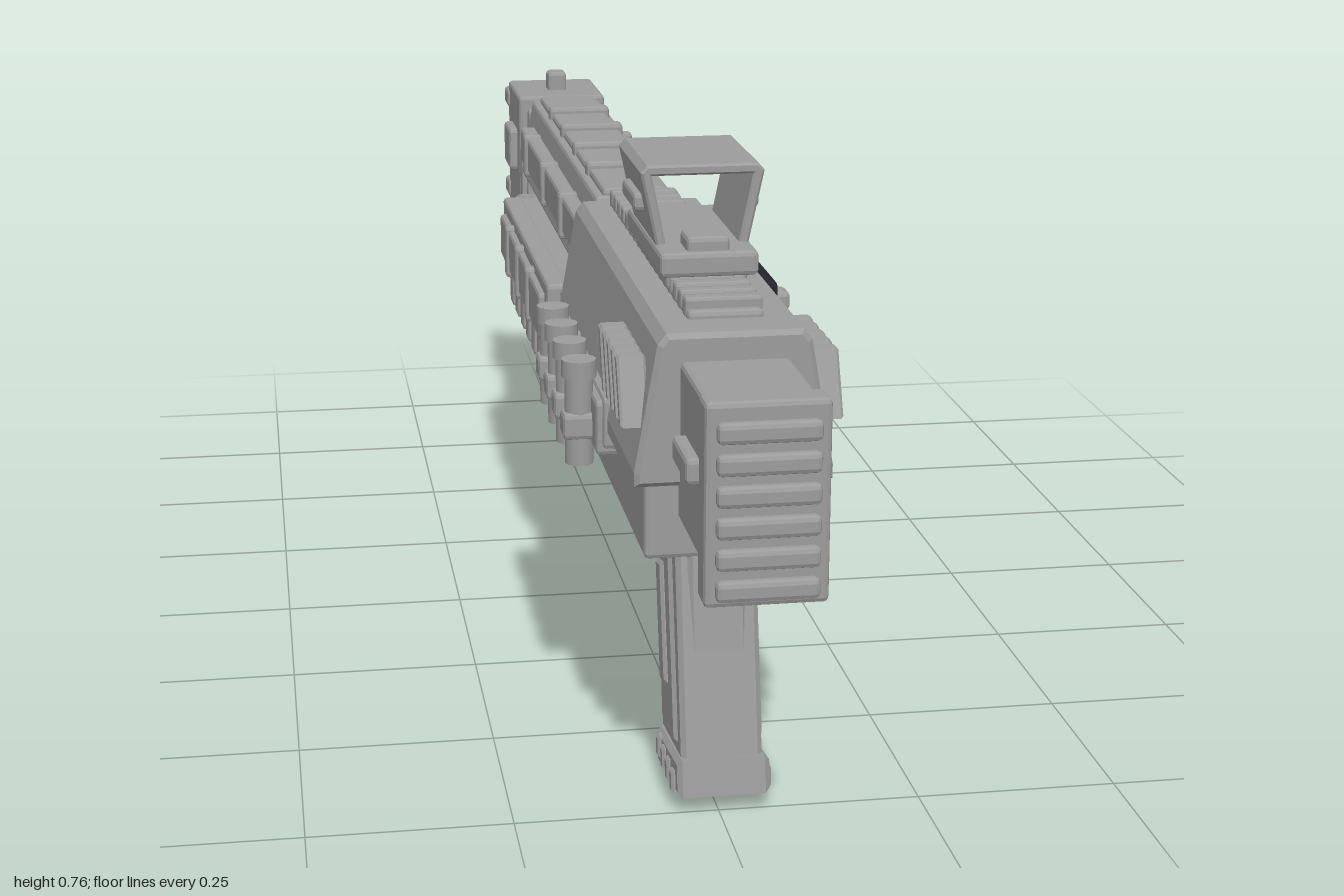
import * as THREE from 'three';
import { RoundedBoxGeometry } from 'three/addons/geometries/RoundedBoxGeometry.js';

export function createModel() {
  const model = new THREE.Group();
  model.name = 'pumpShotgun';
  const body = new THREE.Group();
  body.name = 'body';
  body.position.x = 0.006;
  model.add(body);

  const metal = new THREE.MeshStandardMaterial({ color: 0x9c9c9c });
  metal.name = 'grey metal';
  const dark = new THREE.MeshStandardMaterial({ color: 0x24242c });
  dark.name = 'dark port';
  const black = new THREE.MeshStandardMaterial({ color: 0x161618 });
  black.name = 'black well';

  const add = (name, geo, mat = metal) => {
    const m = new THREE.Mesh(geo, mat);
    m.name = name;
    body.add(m);
    return m;
  };

  // Chamfered box from min/max ranges; taper scales the width at the top
  const box = (name, [x0, x1], [y0, y1], [z0, z1], { taper = 1, mat = metal, bevel = 0.006 } = {}) => {
    const w = x1 - x0, h = y1 - y0, d = z1 - z0;
    const geo = new RoundedBoxGeometry(w, h, d, 1, Math.min(bevel, Math.min(w, h, d) * 0.3));
    const p = geo.attributes.position;
    for (let i = 0; i < p.count; i++) {
      p.setX(i, p.getX(i) * (1 + (taper - 1) * (p.getY(i) / h + 0.5)));
    }
    geo.computeVertexNormals();
    geo.translate((x0 + x1) / 2, (y0 + y1) / 2, (z0 + z1) / 2);
    return add(name, geo, mat);
  };
  const centred = (name, half, y, z, opts) => box(name, [-half, half], y, z, opts);
  const pair = (name, [x0, x1], y, z, opts) => {
    box(name + 'Left', [x0, x1], y, z, opts);
    box(name + 'Right', [-x1, -x0], y, z, opts);
  };

  // Bevelled outline extruded about the origin
  const extrude = (pts, depth, bevel, hole) => {
    const shape = new THREE.Shape(pts.map(([a, b]) => new THREE.Vector2(a, b)));
    if (hole) shape.holes.push(new THREE.Path(hole.map(([a, b]) => new THREE.Vector2(a, b))));
    const geo = new THREE.ExtrudeGeometry(shape, {
      depth: depth - 2 * bevel, bevelEnabled: bevel > 0, bevelThickness: bevel,
      bevelSize: bevel, bevelOffset: -bevel, bevelSegments: 1,
    });
    return geo.translate(0, 0, bevel - depth / 2);
  };
  // Side outline in (z, y), spread across x
  const side = (name, pts, width, x = 0, bevel = 0.006) =>
    add(name, extrude(pts, width, bevel).rotateY(-Math.PI / 2).translate(x, 0, 0));
  // Front outline in (x, y), mirrored from its right half, spread along z
  const section = (name, half, [z0, z1], bevel = 0.006, hole) => {
    const full = h => [...h, ...h.map(([x, y]) => [-x, y]).reverse()];
    return add(name, extrude(full(half), z1 - z0, bevel, hole && full(hole)).translate(0, 0, (z0 + z1) / 2));
  };

  // Stock and ridged butt pad
  centred('stock', 0.064, [0.39, 0.582], [0.78, 0.96]);
  centred('buttPlate', 0.07, [0.356, 0.59], [0.945, 0.988]);
  for (let i = 0; i < 6; i++) {
    const y = 0.365 + i * 0.036;
    centred('buttRib', 0.058, [y, y + 0.024], [0.975, 1.0]);
  }
  pair('stockPanel', [0.055, 0.079], [0.475, 0.506], [0.825, 0.92]);

  // Receiver
  section('upperReceiver', [[0.117, 0.433], [0.117, 0.45], [0.09, 0.602], [0.08, 0.615]], [0.075, 0.797]);
  centred('lowerReceiver', 0.102, [0.337, 0.445], [0.078, 0.775]);
  centred('receiverCollar', 0.085, [0.38, 0.602], [0.035, 0.09], { taper: 0.8 });
  pair('receiverPanel', [0.095, 0.122], [0.41, 0.476], [0.125, 0.578]);
  for (const z of [0.28, 0.43]) pair('receiverStrap', [0.1, 0.128], [0.405, 0.481], [z - 0.012, z + 0.012]);

  // Slanted cooling vents
  for (let i = 0; i < 5; i++) {
    const z = 0.765 - i * 0.034;
    const pts = [[z, 0.502], [z + 0.018, 0.502], [z - 0.016, 0.578], [z - 0.034, 0.578]];
    for (const s of [1, -1]) side('vent', pts, 0.034, s * 0.114, 0.003);
  }

  // Ejection port, bolt and handle
  box('portFrame', [0.08, 0.126], [0.503, 0.578], [0.18, 0.432], { mat: dark });
  box('bolt', [0.1, 0.129], [0.517, 0.565], [0.2, 0.412], { bevel: 0.003 });
  box('boltHandle', [0.12, 0.152], [0.527, 0.552], [0.348, 0.386]);

  // Top rail
  centred('railBase', 0.045, [0.605, 0.624], [0.1, 0.735]);
  for (let i = 0; i < 18; i++) {
    const z = 0.105 + i * 0.035;
    centred('railRidge', 0.046, [0.61, 0.637], [z, z + 0.021], { bevel: 0.004 });
  }

  // Holographic sight with open hood
  centred('sightMount', 0.05, [0.618, 0.645], [0.38, 0.61]);
  centred('sightBase', 0.06, [0.638, 0.668], [0.36, 0.63]);
  centred('sightEmitter', 0.026, [0.66, 0.685], [0.565, 0.62]);
  section('sightHood', [[0.056, 0.662], [0.076, 0.756], [0.068, 0.765]], [0.395, 0.578], 0.003,
    [[0.045, 0.668], [0.062, 0.752]]);
  pair('hoodPanel', [0.06, 0.078], [0.7, 0.722], [0.437, 0.535]);

  // Barrel shroud, side panels and straps
  centred('shroud', 0.076, [0.487, 0.612], [-0.745, 0.045], { taper: 0.74 });
  centred('shroudSpine', 0.045, [0.6, 0.622], [-0.73, 0.035]);
  for (const z of [-0.57, -0.42, -0.27, -0.12]) {
    centred('spineStrap', 0.049, [0.603, 0.632], [z - 0.014, z + 0.014]);
  }
  pair('shroudPanel', [0.055, 0.084], [0.52, 0.578], [-0.685, 0.017]);
  for (const z of [-0.13, -0.355, -0.585]) {
    pair('shroudStrap', [0.06, 0.09], [0.514, 0.584], [z - 0.012, z + 0.012]);
  }

  // Magazine tube and front clamp
  add('magazineTube', new THREE.CylinderGeometry(0.042, 0.042, 0.9, 16)
    .rotateX(Math.PI / 2).translate(0, 0.42, -0.38));
  centred('neck', 0.055, [0.5, 0.592], [-0.8, -0.72]);
  centred('clamp', 0.068, [0.375, 0.548], [-0.778, -0.728]);
  pair('clampPanel', [0.06, 0.076], [0.395, 0.53], [-0.767, -0.74]);

  // Muzzle block, bore, prongs and front sight
  centred('muzzleLink', 0.06, [0.39, 0.59], [-0.8, -0.77]);
  centred('muzzle', 0.074, [0.377, 0.61], [-0.967, -0.79]);
  box('bore', [-0.044, 0.044], [0.465, 0.58], [-0.972, -0.964], { mat: dark, bevel: 0.001 });
  pair('muzzlePanel', [0.065, 0.088], [0.475, 0.547], [-0.915, -0.828]);
  centred('muzzleBottomPanel', 0.035, [0.368, 0.385], [-0.92, -0.83]);
  for (const y of [0.565, 0.402]) pair('prong', [0.049, 0.078], [y, y + 0.03], [-1, -0.945]);
  centred('frontSight', 0.016, [0.6, 0.641], [-0.89, -0.852]);

  // Pump foregrip with ribbed underside
  side('foregrip', [[0.022, 0.472], [-0.61, 0.472], [-0.595, 0.36], [-0.575, 0.325],
    [-0.02, 0.325], [0.022, 0.37]], 0.205);
  side('foregripLip', [[-0.605, 0.477], [-0.64, 0.472], [-0.605, 0.322], [-0.575, 0.33]], 0.2);
  pair('foregripPanel', [0.09, 0.122], [0.362, 0.475], [-0.61, 0.0]);
  pair('foregripInset', [0.11, 0.131], [0.385, 0.455], [-0.575, -0.03]);
  for (const z of [-0.17, -0.31, -0.45]) {
    pair('foregripStrap', [0.11, 0.136], [0.378, 0.462], [z - 0.012, z + 0.012]);
  }
  for (let i = 0; i < 7; i++) {
    const z = -0.06 - i * 0.076;
    centred('foregripRib', 0.118, [0.31, 0.365], [z - 0.038, z]);
  }

  // Pistol grip
  side('grip', [[0.53, 0.35], [0.68, 0.35], [0.74, 0.06], [0.597, 0.045]], 0.1);
  side('gripBackstrap', [[0.6, 0.345], [0.69, 0.345], [0.722, 0.13], [0.68, 0.13]], 0.072);
  side('gripPanel', [[0.57, 0.31], [0.66, 0.31], [0.715, 0.075], [0.62, 0.068]], 0.11);
  side('gripInset', [[0.595, 0.272], [0.63, 0.28], [0.667, 0.135], [0.632, 0.125]], 0.12, 0, 0.004);
  side('gripBase', [[0.592, 0.045], [0.75, 0.067], [0.758, 0.022], [0.6, 0.0]], 0.114);
  for (let i = 0; i < 4; i++) {
    const z = 0.618 + i * 0.034;
    side('baseRib', [[z, 0.018], [z + 0.018, 0.02], [z + 0.014, 0.047], [z - 0.004, 0.045]], 0.124, 0, 0.003);
  }

  // Trigger, guard and loading port
  side('trigger', [[0.425, 0.345], [0.455, 0.345], [0.478, 0.282], [0.452, 0.276]], 0.03, 0, 0.004);
  side('guardBar', [[0.32, 0.262], [0.57, 0.262], [0.57, 0.242], [0.33, 0.242]], 0.05, 0, 0.004);
  side('guardFront', [[0.34, 0.345], [0.37, 0.345], [0.336, 0.244], [0.316, 0.252]], 0.05, 0, 0.004);
  box('loadingPort', [-0.05, 0.05], [0.333, 0.341], [0.13, 0.36], { mat: black, bevel: 0.001 });

  // Spare shells in a side holder
  box('shellHolder', [-0.13, -0.1], [0.4, 0.47], [0.2, 0.57]);
  for (const z of [0.25, 0.34, 0.425, 0.515]) {
    const shell = (name, r, y0, y1) => add(name,
      new THREE.CylinderGeometry(r, r, y1 - y0, 12).translate(-0.144, (y0 + y1) / 2, z));
    shell('shellBody', 0.018, 0.376, 0.495);
    shell('shellCap', 0.022, 0.488, 0.511);
    box('shellLoop', [-0.166, -0.12], [0.41, 0.444], [z - 0.02, z + 0.02]);
  }

  return model;
}
